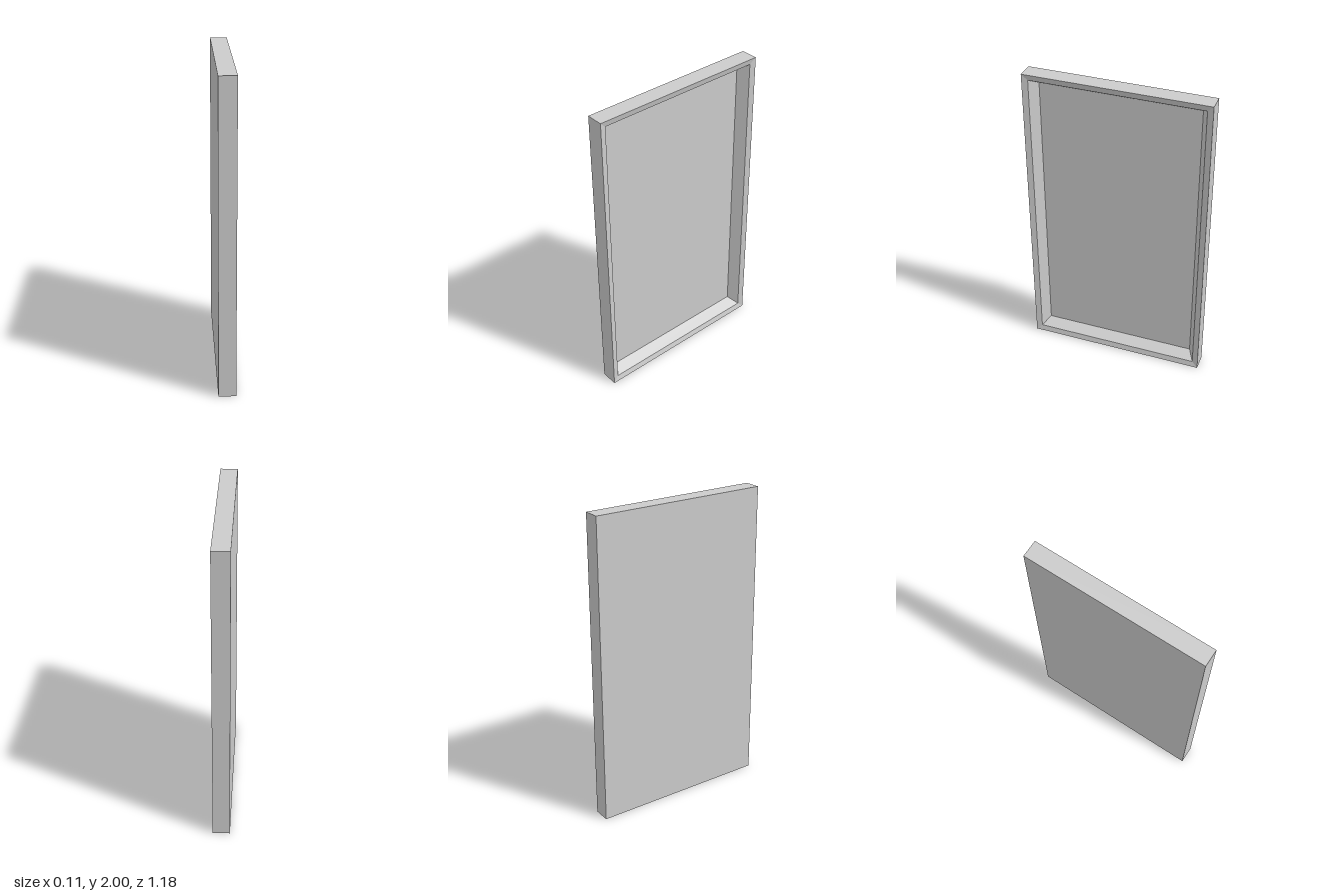
import * as THREE from 'three';

const HEIGHT = 2, HALF_WIDTH = 0.588, HALF_DEPTH = 0.055;

// Rectangular ring at depth x, inset from the outline, counter-clockwise seen from +x
function ring(x, inset) {
  const z = HALF_WIDTH - inset, y0 = inset, y1 = HEIGHT - inset;
  return [[x, y0, z], [x, y0, -z], [x, y1, -z], [x, y1, z]];
}

// Joins successive rings with flat, mitred faces
function ringStrip(rings) {
  const positions = [];
  for (let i = 0; i < rings.length - 1; i++) {
    for (let k = 0; k < 4; k++) {
      const n = (k + 1) % 4;
      const [a, b] = [rings[i][k], rings[i][n]];
      const [c, d] = [rings[i + 1][n], rings[i + 1][k]];
      positions.push(...a, ...b, ...c, ...a, ...c, ...d);
    }
  }
  const geometry = new THREE.BufferGeometry();
  geometry.setAttribute('position', new THREE.Float32BufferAttribute(positions, 3));
  geometry.computeVertexNormals();
  return geometry;
}

// Flat upright sheet facing +x (side = 1) or -x (side = -1)
function sheet(x, inset, side) {
  const geometry = new THREE.PlaneGeometry(2 * (HALF_WIDTH - inset), HEIGHT - 2 * inset);
  return geometry.rotateY(side * Math.PI / 2).translate(x, HEIGHT / 2, 0);
}

export function createModel() {
  const group = new THREE.Group();
  const material = new THREE.MeshStandardMaterial({ color: 0xcccccc, flatShading: true });
  const add = (name, geometry) => {
    const mesh = new THREE.Mesh(geometry, material);
    mesh.name = name;
    group.add(mesh);
  };

  const lipInset = 0.038, panelInset = 0.079, panelX = -0.023;

  // Outer sides, slightly sloped rim and bevelled inner walls
  add('frame', ringStrip([
    ring(-HALF_DEPTH, 0),
    ring(HALF_DEPTH, 0),
    ring(HALF_DEPTH - 0.009, lipInset),
    ring(panelX, panelInset),
  ]));

  // Recessed face and closed back
  add('panel', sheet(panelX, panelInset, 1));
  add('back', sheet(-HALF_DEPTH, 0, -1));

  return group;
}
